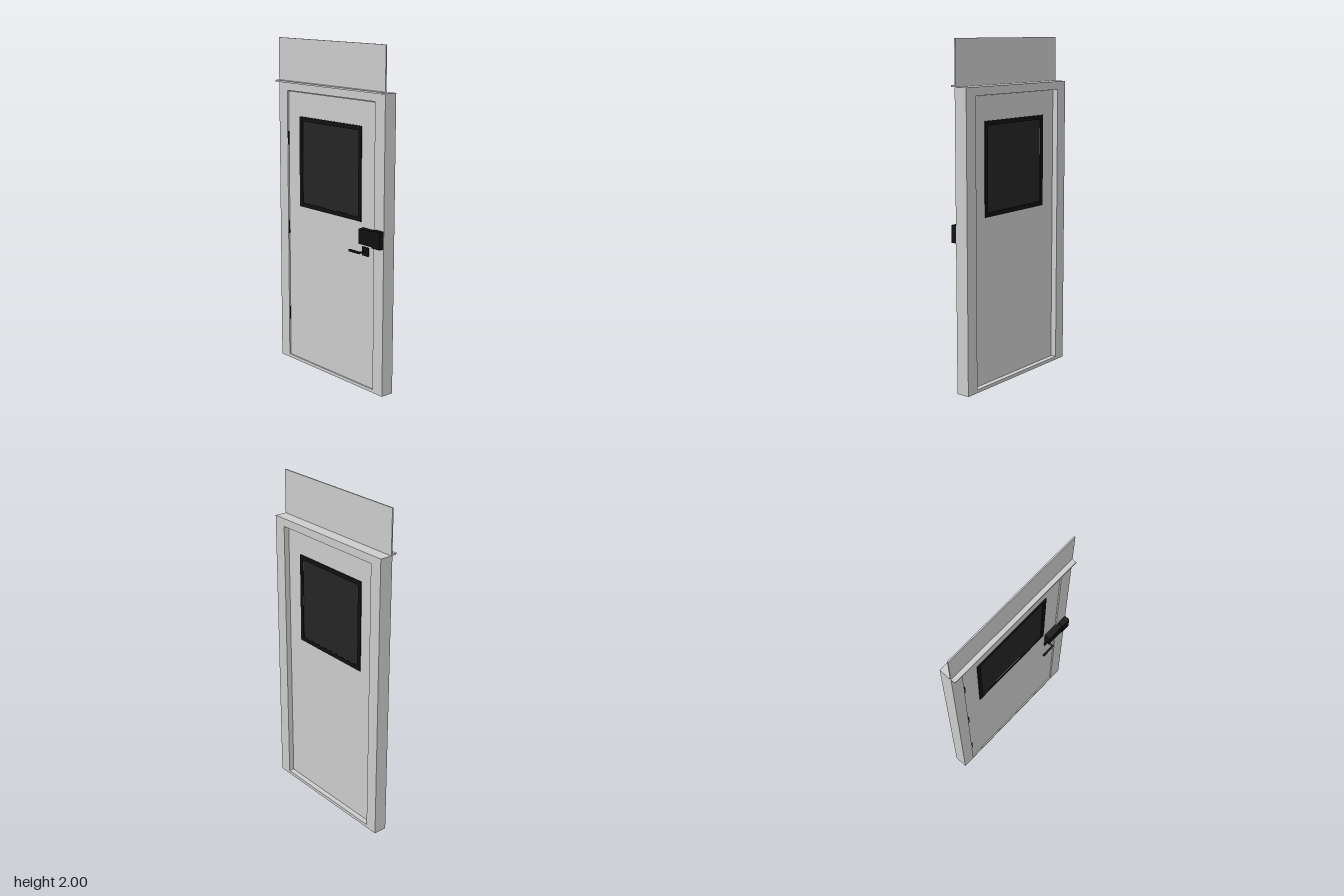
import * as THREE from 'three';

const material = (color) => new THREE.MeshStandardMaterial({ color });

// Rectangle path from its corner coordinates
function rect(Type, x0, x1, y0, y1) {
  const p = new Type();
  p.moveTo(x0, y0);
  p.lineTo(x1, y0);
  p.lineTo(x1, y1);
  p.lineTo(x0, y1);
  p.closePath();
  return p;
}

export function createModel() {
  const model = new THREE.Group();
  model.name = 'door';
  const grey = material(0xcccccc);
  const black = material(0x101010);
  const glass = material(0x242424);

  function add(name, geometry, mat, parent = model) {
    const mesh = new THREE.Mesh(geometry, mat);
    mesh.name = name;
    parent.add(mesh);
    return mesh;
  }

  // Box given by its extents
  function box(name, [x0, x1], [y0, y1], [z0, z1], mat, parent) {
    const mesh = add(name, new THREE.BoxGeometry(x1 - x0, y1 - y0, z1 - z0), mat, parent);
    mesh.position.set((x0 + x1) / 2, (y0 + y1) / 2, (z0 + z1) / 2);
    return mesh;
  }

  // Flat rectangular ring: outer and hole are [x0, x1, y0, y1]
  function ring(name, outer, hole, [z0, z1], mat) {
    const shape = rect(THREE.Shape, ...outer);
    shape.holes.push(rect(THREE.Path, ...hole));
    const geometry = new THREE.ExtrudeGeometry(shape, { depth: z1 - z0, bevelEnabled: false });
    geometry.translate(0, 0, z0);
    return add(name, geometry, mat);
  }

  // Frame with sill
  ring('frame', [-0.462, 0.462, 0, 1.738], [-0.385, 0.382, 0.02, 1.69], [-0.065, 0.016], grey);

  // Door leaf with window opening, slightly recessed in front, deeper at the back
  const pane = [-0.25, 0.247, 1.023, 1.518];
  ring('doorLeaf', [-0.38, 0.38, 0.02, 1.686], pane, [-0.033, 0.009], grey);
  ring('windowTrim', [-0.275, 0.27, 0.998, 1.544], pane, [-0.038, 0.014], black);
  box('windowGlass', [pane[0], pane[1]], [pane[2], pane[3]], [-0.032, 0.008], glass);

  // Panel above the frame and the drip ledge along its foot
  box('transomPanel', [-0.462, 0.462], [1.738, 2], [0.008, 0.016], grey);
  box('dripLedge', [-0.462, 0.462], [1.738, 1.748], [0.016, 0.043], grey);

  // Hinges
  for (const y of [0.295, 0.852, 1.403]) {
    const hinge = add('hinge', new THREE.CylinderGeometry(0.005, 0.005, 0.08, 16), black);
    hinge.position.set(-0.381, y, 0.013);
  }

  // Rim lock: case on the leaf, keeper on the frame
  const lock = new THREE.Group();
  lock.name = 'rimLock';
  model.add(lock);
  box('lockCase', [0.288, 0.4], [0.88, 0.968], [0.009, 0.047], black, lock);
  box('lockKeeper', [0.4, 0.46], [0.875, 0.976], [0.016, 0.05], black, lock);

  // Lever handle
  const handle = new THREE.Group();
  handle.name = 'leverHandle';
  model.add(handle);
  box('handlePlate', [0.286, 0.336], [0.807, 0.857], [0.009, 0.018], black, handle);
  const stem = add('handleStem', new THREE.CylinderGeometry(0.006, 0.006, 0.044, 16), black, handle);
  stem.rotation.x = Math.PI / 2;
  stem.position.set(0.309, 0.832, 0.037);
  box('handleLever', [0.225, 0.315], [0.826, 0.838], [0.054, 0.065], black, handle);

  return model;
}
